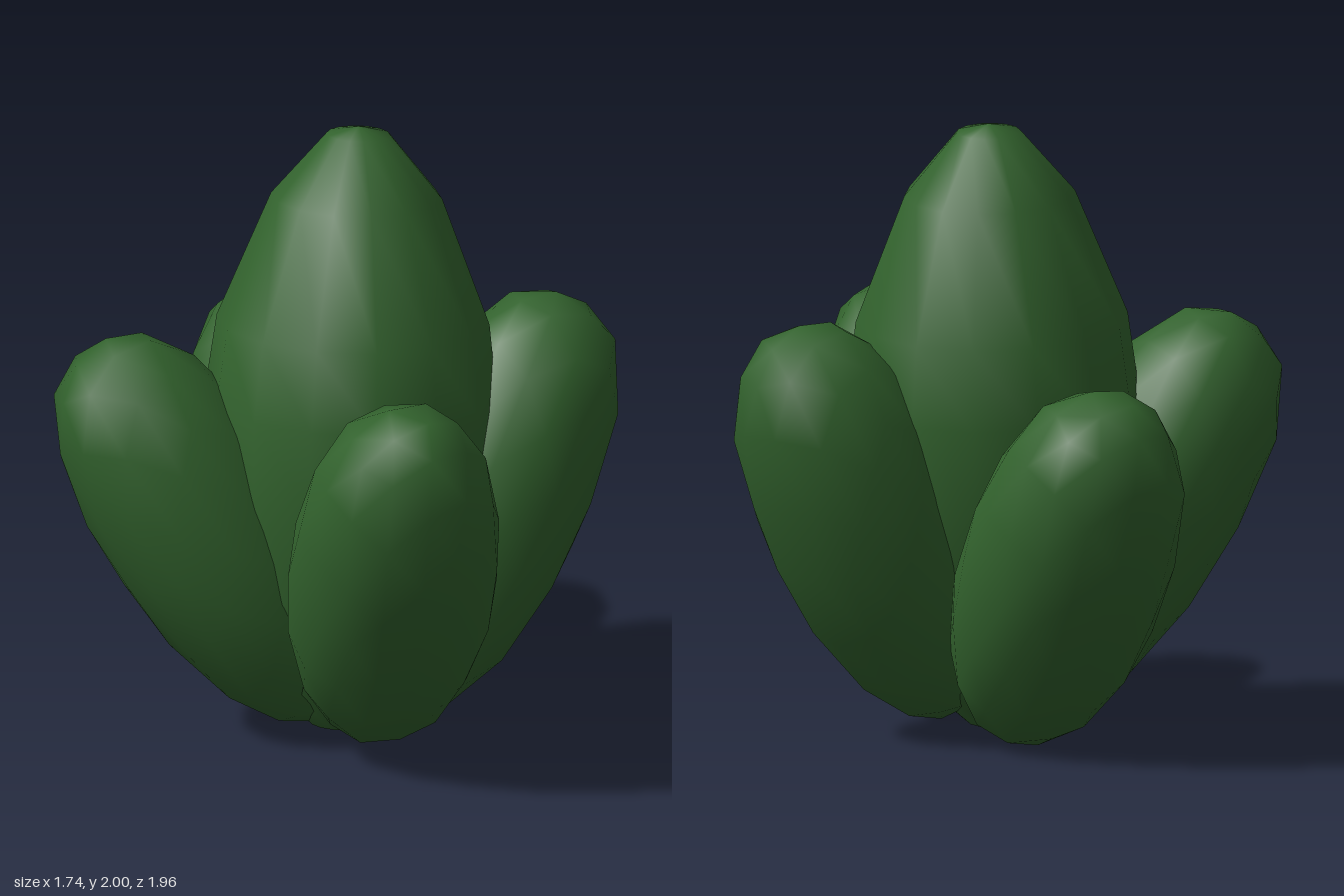
import * as THREE from 'three';
import { mergeVertices } from 'three/addons/utils/BufferGeometryUtils.js';

const UP = new THREE.Vector3(0, 1, 0);

// Unit outline of the tall middle lobe: rounded below, tapering to a small blunt tip
const TAPERED = [
  [0, -1], [0.22, -0.975], [0.56, -0.83], [0.87, -0.5], [0.99, -0.15], [1.01, 0.1],
  [0.94, 0.36], [0.59, 0.77], [0.22, 0.975], [0, 1],
].map(([r, y]) => new THREE.Vector2(r, y));

// Unit low-poly ball whose upper half bulges into a blunter tip
function bluntBall() {
  const ball = new THREE.IcosahedronGeometry(1, 2);
  ball.deleteAttribute('normal');
  ball.deleteAttribute('uv');
  const geometry = mergeVertices(ball);
  const position = geometry.attributes.position;
  const v = new THREE.Vector3();
  for (let i = 0; i < position.count; i++) {
    v.fromBufferAttribute(position, i);
    const power = v.y > 0 ? 2.5 : 2.1;
    const size = Math.abs(v.y) ** power + Math.hypot(v.x, v.z) ** power;
    v.multiplyScalar(size ** (-1 / power));
    position.setXYZ(i, v.x, v.y, v.z);
  }
  geometry.computeVertexNormals();
  return geometry;
}

// Smooth-shaded lobe, its long axis leaning along `lean`
function lobe(name, geometry, material, centre, lean, halfLength, radius) {
  const mesh = new THREE.Mesh(geometry, material);
  mesh.name = name;
  mesh.position.set(...centre);
  mesh.scale.set(radius, halfLength, radius);
  mesh.quaternion.setFromUnitVectors(UP, new THREE.Vector3(...lean).normalize());
  return mesh;
}

export function createModel() {
  const group = new THREE.Group();
  group.name = 'bush';
  const green = new THREE.MeshStandardMaterial({ color: 0x32622d });
  const tapered = new THREE.LatheGeometry(TAPERED, 14);
  const blunt = bluntBall();

  group.add(lobe('centreLobe', tapered, green, [0.01, 1, -0.005], [0.07, 1, -0.05], 1, 0.465));

  // Outer lobes: name, centre, lean direction, half length, radius
  const outerLobes = [
    ['frontLobe', [-0.19, 0.685, 0.505], [-0.27, 1, 0.54], 0.735, 0.335],
    ['leftLobe', [0.4, 0.71, 0.155], [0.53, 1, 0.06], 0.73, 0.335],
    ['rightLobe', [-0.405, 0.685, -0.185], [-0.53, 1, -0.33], 0.735, 0.332],
    ['backLobe', [0.16, 0.61, -0.49], [0.2, 1, -0.63], 0.7, 0.335],
  ];
  for (const [name, centre, lean, halfLength, radius] of outerLobes) {
    group.add(lobe(name, blunt, green, centre, lean, halfLength, radius));
  }
  return group;
}
